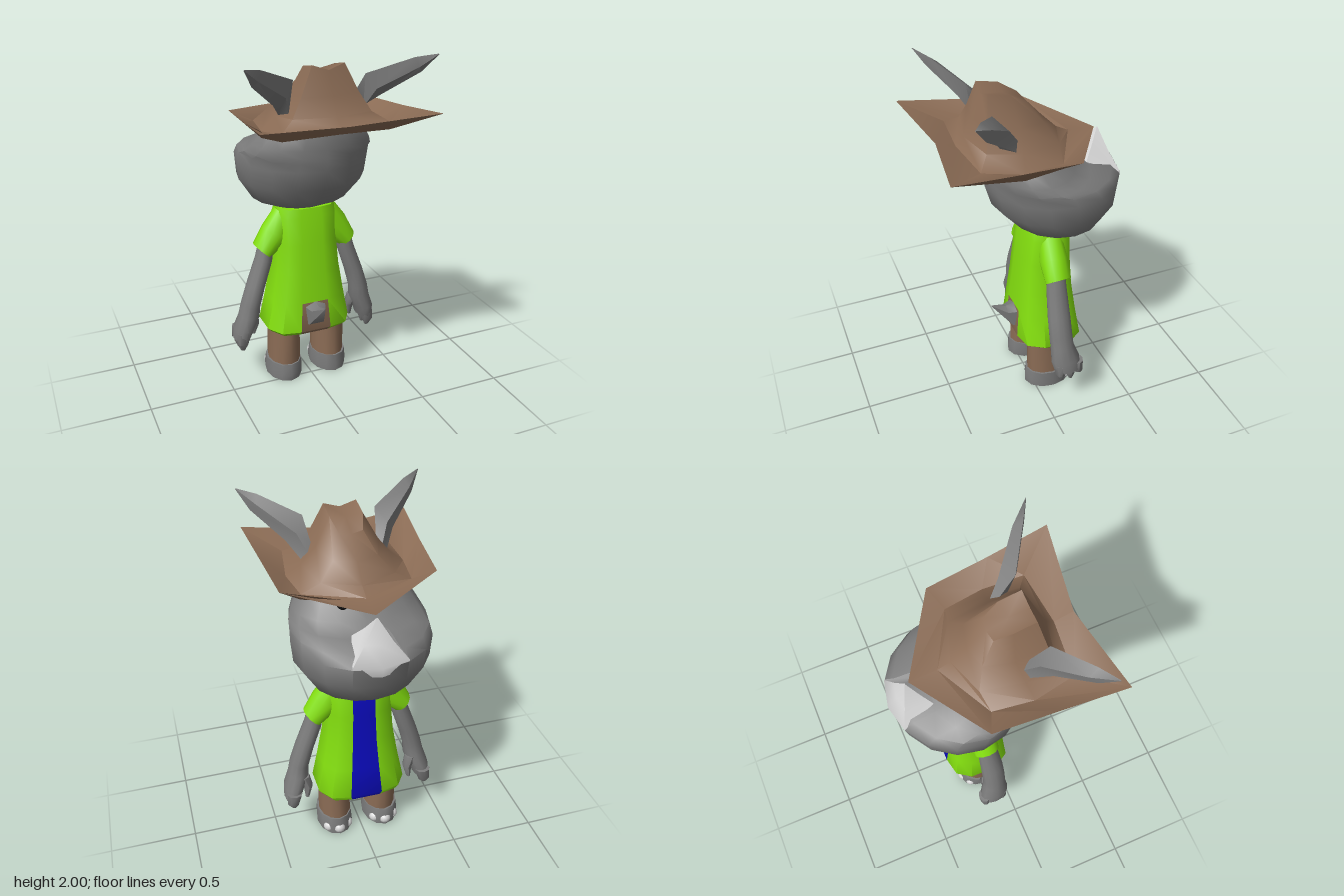
import * as THREE from 'three';
import { toCreasedNormals } from 'three/addons/utils/BufferGeometryUtils.js';

const flat = (name, color) => {
  const m = new THREE.MeshStandardMaterial({ color });
  m.name = name;
  return m;
};

// Closed surface through rings of equal point count; matOf(row, col) picks a material index
function loft(rings, matOf = () => 0, crease = 0.9) {
  const n = rings[0].length, pos = rings.flat().flat(), tris = [];
  const centre = (ring) => [0, 1, 2].map((k) => ring.reduce((s, p) => s + p[k], 0) / n);
  const last = rings.length - 1, c0 = n * rings.length;
  pos.push(...centre(rings[0]), ...centre(rings[last]));
  for (let c = 0; c < n; c++) {
    const d = (c + 1) % n;
    tris.push([c0, d, c, matOf(-1, c)], [c0 + 1, last * n + c, last * n + d, matOf(last, c)]);
    for (let r = 0; r < last; r++) {
      const a = r * n + c, b = r * n + d;
      tris.push([a, b, b + n, matOf(r, c)], [a, b + n, a + n, matOf(r, c)]);
    }
  }
  // turn the faces outward
  const v = (i) => new THREE.Vector3(pos[3 * i], pos[3 * i + 1], pos[3 * i + 2]);
  const origin = v(c0);
  const at = (i) => v(i).sub(origin);
  const volume = tris.reduce((s, t) => s + at(t[0]).dot(at(t[1]).cross(at(t[2]))), 0);
  if (volume < 0) tris.forEach((t) => ([t[1], t[2]] = [t[2], t[1]]));
  tris.sort((a, b) => a[3] - b[3]);
  const g = new THREE.BufferGeometry();
  g.setAttribute('position', new THREE.Float32BufferAttribute(pos, 3));
  g.setIndex(tris.flatMap((t) => t.slice(0, 3)));
  for (let m = 0; m <= tris[tris.length - 1][3]; m++) {
    const start = tris.findIndex((t) => t[3] === m);
    const count = tris.filter((t) => t[3] === m).length;
    if (count) g.addGroup(start * 3, count * 3, m);
  }
  return toCreasedNormals(g, crease);
}

// Elliptic ring [cx, cy, cz, rx, rz, slope]; slope tilts it along x
function oval([cx, cy, cz, rx, rz, slope = 0], side = 1, n = 12) {
  return Array.from({ length: n }, (_, i) => {
    const a = (i / n) * Math.PI * 2, dx = rx * Math.sin(a);
    return [side * (cx + dx), cy + slope * dx, cz - rz * Math.cos(a)];
  });
}
const ovals = (list, side, n) => loft(list.map((o) => oval(o, side, n)));

// Full ring from its +x half; the end points lie on the centre line
const mirrorRing = (half) => [...half, ...half.slice(1, -1).reverse().map(([x, y, z]) => [-x, y, z])];

export function createModel() {
  const root = new THREE.Group();
  root.name = 'rhinoFigure';
  const skin = flat('greySkin', 0x7c7c7c);
  const brown = flat('brownCloth', 0x8b6c55);
  const green = flat('greenShirt', 0x84e00f);
  const blue = flat('blueUndershirt', 0x0b0bc0);
  const horn = flat('paleHorn', 0xd6d6d6);
  const black = flat('blackEye', 0x111111);
  const add = (name, geometry, material) => {
    const mesh = new THREE.Mesh(geometry, material);
    mesh.name = name;
    root.add(mesh);
    return mesh;
  };
  const ball = (name, mat, p, s) => {
    const m = add(name, new THREE.SphereGeometry(1, 12, 8), mat);
    m.position.set(...p);
    m.scale.set(...s);
  };

  // Head: rows of [y, front z, back z, half width], snout towards -z
  const headRows = [
    [1.06, -0.32, -0.08, 0.13], [1.13, -0.45, 0.07, 0.285], [1.26, -0.525, 0.185, 0.37],
    [1.38, -0.545, 0.22, 0.38], [1.43, -0.49, 0.225, 0.375], [1.455, -0.36, 0.225, 0.365],
    [1.5, -0.265, 0.225, 0.34], [1.59, -0.18, 0.225, 0.28], [1.66, -0.12, 0.2, 0.2],
  ];
  add('head', ovals(headRows.map(([y, f, b, w]) => [0, y, (f + b) / 2, w, (b - f) / 2]), 1, 16), skin);

  // Nose horn
  const hornBase = [[0, 1.385, -0.55], [0.15, 1.39, -0.515], [0.1, 1.465, -0.33], [0, 1.465, -0.32]];
  const hornRing = (t, spread) => mirrorRing(hornBase.map(([x, y, z]) => [
    x * spread, y + (1.61 - y) * t, -0.435 + (z + 0.435) * spread]));
  add('noseHorn', loft([hornRing(-0.25, 0.9), hornRing(0, 1), hornRing(0.45, 0.5), hornRing(1, 0.02)]), horn);

  // Hat: underside, turned-up pointed brim, then creased crown
  const hatRings = [
    [[0, 1.6, -0.26], [0.3, 1.58, -0.1], [0.33, 1.575, 0.12], [0.3, 1.61, 0.34], [0, 1.62, 0.36]],
    [[0, 1.615, -0.415], [0.42, 1.665, -0.15], [0.45, 1.69, 0.2], [0.485, 1.725, 0.548], [0, 1.69, 0.475]],
    [[0, 1.625, -0.26], [0.3, 1.61, -0.1], [0.33, 1.61, 0.12], [0.3, 1.65, 0.34], [0, 1.655, 0.37]],
    [[0, 1.66, -0.19], [0.2, 1.67, -0.12], [0.25, 1.68, 0.1], [0.22, 1.7, 0.28], [0, 1.7, 0.325]],
    [[0, 1.75, -0.1], [0.12, 1.76, -0.07], [0.17, 1.78, 0.08], [0.16, 1.8, 0.25], [0, 1.8, 0.285]],
    [[0, 1.86, 0], [0.065, 1.87, 0.01], [0.09, 1.925, 0.1], [0.09, 1.95, 0.22], [0, 1.92, 0.225]],
  ];
  add('hat', loft(hatRings.map(mirrorRing)), brown);

  // Shirt: rows of [y, half width, front z, back z]; blue front strip, brown gap around the tail
  const shirtRows = [
    [0.31, 0.235, -0.3, 0.045], [0.34, 0.26, -0.312, 0.075], [0.52, 0.225, -0.285, 0.06],
    [0.7, 0.195, -0.262, 0.042], [0.88, 0.18, -0.25, 0.025], [1.04, 0.18, -0.24, 0.005],
    [1.09, 0.165, -0.225, -0.005],
  ];
  const section = [[0.36, -1], [0.78, -0.88], [1, -0.45], [1, 0.4], [0.78, 0.88], [0.36, 1]];
  const outline = [...section, ...section.slice().reverse().map(([x, t]) => [-x, t])];
  const shirt = loft(
    shirtRows.map(([y, w, f, b]) => outline.map(([x, t]) => [x * w, y, (f + b) / 2 + (t * (b - f)) / 2])),
    (row, col) => (row < 0 || (col === 5 && row < 2) ? 2 : col === 11 ? 1 : 0));
  add('shirt', shirt, [green, blue, brown]);

  // Trouser seat
  add('trouserSeat', ovals([[0, 0.27, -0.1, 0.07, 0.08], [0, 0.33, -0.1, 0.2, 0.125], [0, 0.4, -0.1, 0.2, 0.125]]), brown);

  // Tail
  add('tail', loft([
    [[-0.065, 0.37, 0.03], [0.065, 0.37, 0.03], [0.07, 0.5, 0.04], [0, 0.525, 0.05], [-0.07, 0.5, 0.04]],
    [[-0.045, 0.39, 0.085], [0.045, 0.39, 0.085], [0.045, 0.49, 0.11], [0, 0.512, 0.11], [-0.045, 0.49, 0.11]],
    [[-0.004, 0.535, 0.2], [0.004, 0.535, 0.2], [0.004, 0.54, 0.2], [0, 0.542, 0.2], [-0.004, 0.54, 0.2]],
  ]), skin);

  for (const side of [1, -1]) {
    const label = (s) => (side > 0 ? 'left' : 'right') + s;

    ball(label('Eye'), black, [side * 0.1, 1.565, -0.175], [0.036, 0.045, 0.036]);

    // Ear through the brim: each station is [top, front, bottom, back]
    const ear = [
      [[0.18, 1.77, 0.15], [0.2, 1.72, 0.1], [0.24, 1.69, 0.13], [0.21, 1.7, 0.2]],
      [[0.2, 1.89, 0.24], [0.25, 1.82, 0.17], [0.3, 1.765, 0.22], [0.25, 1.81, 0.27]],
      [[0.41, 1.98, 0.37], [0.425, 1.94, 0.32], [0.455, 1.9, 0.36], [0.43, 1.93, 0.385]],
      [[0.51, 2, 0.428], [0.512, 1.998, 0.426], [0.514, 1.996, 0.428], [0.512, 1.998, 0.43]],
    ];
    add(label('Ear'), loft(ear.map((r) => r.map(([x, y, z]) => [side * x, y, z]))), skin);

    // Sleeve and arm
    add(label('Sleeve'), ovals([
      [0.12, 1.05, -0.11, 0.06, 0.07, 0.5], [0.18, 0.93, -0.11, 0.078, 0.08, 0.6],
      [0.265, 0.83, -0.11, 0.047, 0.076, 0.9],
    ], side), green);
    add(label('Arm'), ovals([
      [0.235, 0.9, -0.1, 0.04, 0.055, 0.5], [0.26, 0.78, -0.1, 0.048, 0.06, 0.3],
      [0.315, 0.62, -0.095, 0.052, 0.068, 0.2], [0.35, 0.5, -0.095, 0.055, 0.07, 0.2],
      [0.36, 0.43, -0.1, 0.062, 0.07, 0.1], [0.39, 0.35, -0.11, 0.06, 0.088],
      [0.405, 0.28, -0.12, 0.05, 0.08],
    ], side), skin);

    // Fingers and thumb
    for (const [z, tip] of [[-0.07, 0.21], [-0.13, 0.203], [-0.18, 0.235]]) {
      add(label('Finger'), ovals([
        [0.4, 0.33, z, 0.045, 0.036], [0.412, 0.26, z, 0.036, 0.03], [0.41, tip, z - 0.008, 0.012, 0.01],
      ], side, 8), skin);
    }
    add(label('Thumb'), ovals([
      [0.335, 0.42, -0.13, 0.035, 0.04], [0.312, 0.35, -0.14, 0.028, 0.034], [0.32, 0.27, -0.15, 0.012, 0.014],
    ], side, 8), skin);

    // Trouser leg, foot and toenails
    add(label('Leg'), ovals([[0.143, 0.08, -0.1, 0.096, 0.127], [0.143, 0.4, -0.1, 0.092, 0.127]], side), brown);
    add(label('Foot'), ovals([
      [0.146, 0, -0.105, 0.106, 0.148], [0.146, 0.04, -0.105, 0.108, 0.15], [0.146, 0.105, -0.1, 0.104, 0.136],
    ], side), skin);
    for (const a of [-0.75, 0, 0.75]) {
      ball(label('Toenail'), horn,
        [side * 0.146 + 0.08 * Math.sin(a), 0.034, -0.11 - 0.12 * Math.cos(a)], [0.036, 0.034, 0.034]);
    }
  }
  return root;
}
